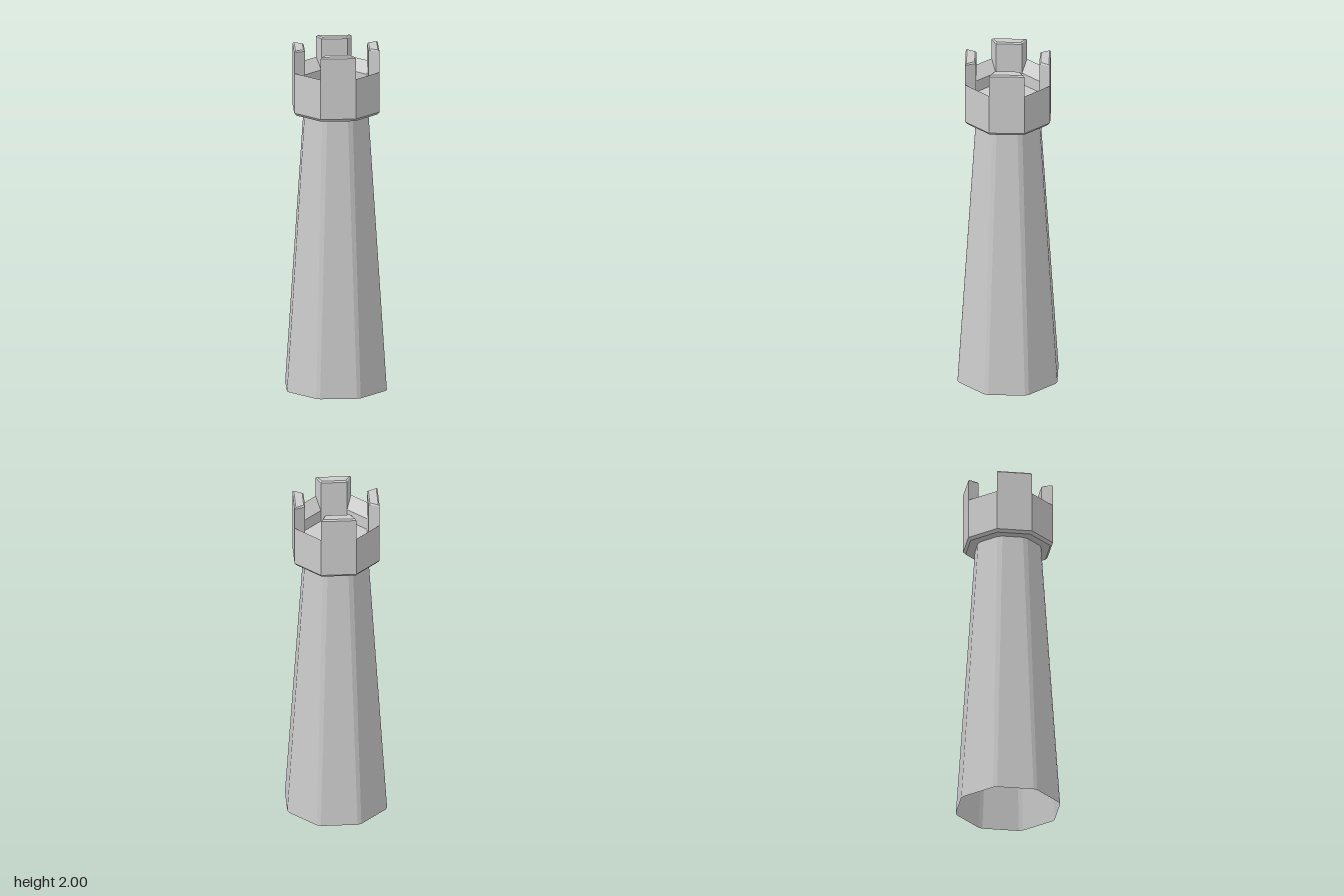
import * as THREE from 'three';

const STEP = Math.PI / 4;

// Point at distance d along direction a, shifted sideways by s (a = 0 faces +z)
const polar = (a, d, s, y) => new THREE.Vector3(
  Math.sin(a) * d + Math.cos(a) * s, y, Math.cos(a) * d - Math.sin(a) * s);

// Skin between rings listed bottom to top, each running counter-clockwise from above
function loft(rings, capTop) {
  const pos = [];
  const tri = (...pts) => pts.forEach((p) => pos.push(p.x, p.y, p.z));
  for (let r = 0; r < rings.length - 1; r++) {
    const lo = rings[r], hi = rings[r + 1], n = lo.length;
    for (let i = 0; i < n; i++) {
      const j = (i + 1) % n;
      tri(lo[i], lo[j], hi[j]);
      tri(lo[i], hi[j], hi[i]);
    }
  }
  if (capTop) {
    const top = rings[rings.length - 1];
    for (let i = 1; i < top.length - 1; i++) tri(top[0], top[i], top[i + 1]);
  }
  const geo = new THREE.BufferGeometry();
  geo.setAttribute('position', new THREE.Float32BufferAttribute(pos, 3));
  geo.computeVertexNormals();
  return geo;
}

// Octagon with narrow bevelled corners
function bevelledOctagon(d, half, y) {
  const ring = [];
  for (let k = 0; k < 8; k++) {
    ring.push(polar(k * STEP, d, -half, y), polar(k * STEP, d, half, y));
  }
  return ring;
}

// Four corners of one parapet segment, shrunk by inset
function segment(a, yOuter, yInner, inset) {
  const c = Math.cos(STEP / 2), s = Math.sin(STEP / 2), R = 0.262, r = 0.195;
  const dOut = R * c - inset, dIn = r * c + inset;
  return [
    polar(a, dOut, -R * s + inset, yOuter), polar(a, dOut, R * s - inset, yOuter),
    polar(a, dIn, r * s - inset, yInner), polar(a, dIn, -r * s + inset, yInner),
  ];
}

export function createModel() {
  const group = new THREE.Group();
  const material = new THREE.MeshStandardMaterial({
    color: 0xcccccc, flatShading: true, side: THREE.DoubleSide });
  const add = (name, geometry) => {
    const mesh = new THREE.Mesh(geometry, material);
    mesh.name = name;
    group.add(mesh);
  };

  // Tapered hollow shaft, open at the foot
  add('shaft', loft([bevelledOctagon(0.302, 0.012, 0), bevelledOctagon(0.19, 0.015, 1.62)]));

  // Crown: underside, bevel, outer wall, sloped sill, inner wall and floor
  const profile = [[0, 1.62], [0.248, 1.62], [0.262, 1.636], [0.262, 1.87],
    [0.195, 1.81], [0.195, 1.74], [0, 1.74]].map(([x, y]) => new THREE.Vector2(x, y));
  add('crown', new THREE.LatheGeometry(profile, 8));

  // Battlements on every other side, with bevelled tops
  for (let k = 1; k < 8; k += 2) {
    const a = (k + 0.5) * STEP;
    add('battlement', loft([
      segment(a, 1.87, 1.81, 0), segment(a, 1.992, 1.992, 0), segment(a, 2, 2, 0.008)], true));
  }
  return group;
}
